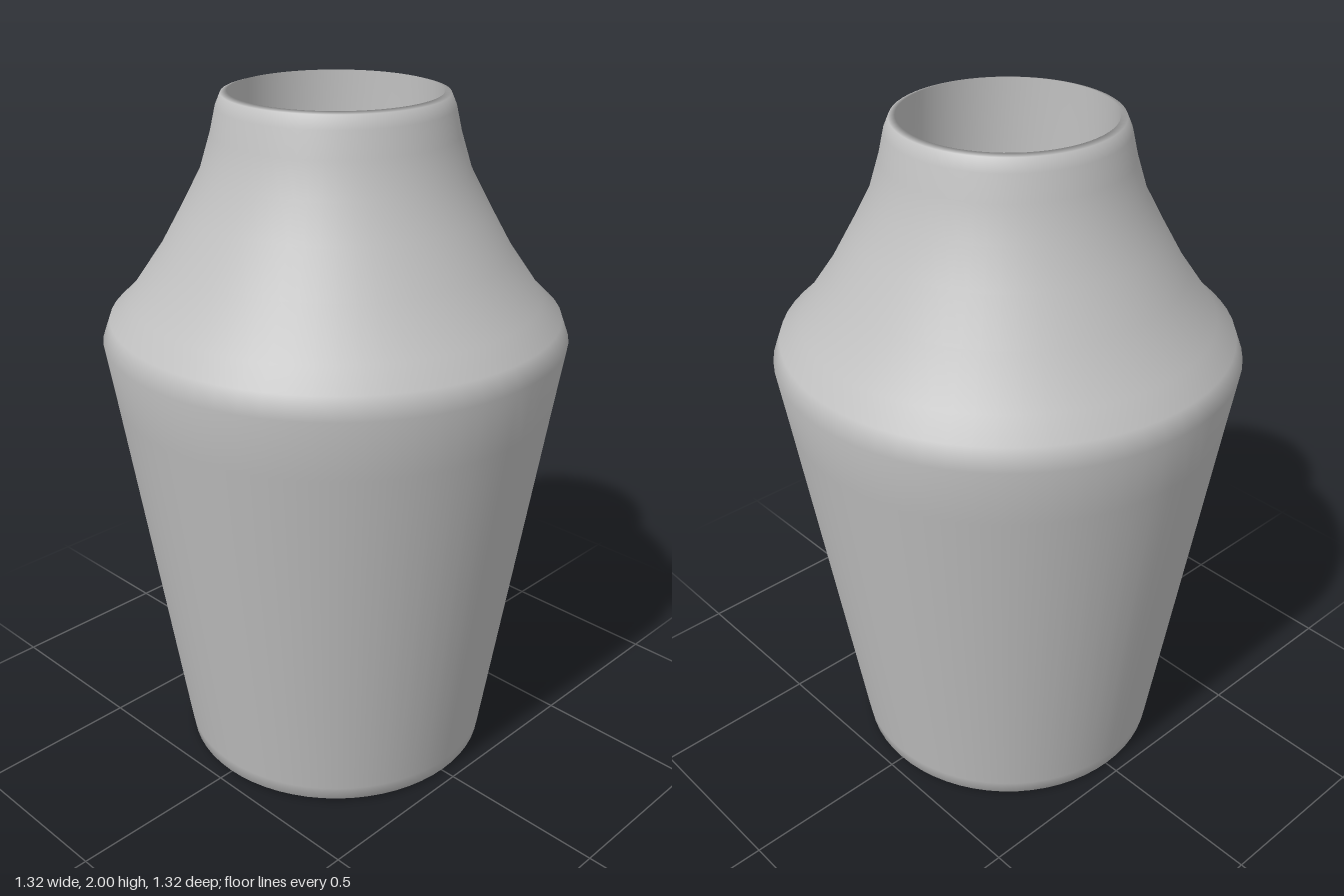
import * as THREE from 'three';

export function createModel() {
  const model = new THREE.Group();
  model.name = 'vase';

  const ceramic = new THREE.MeshStandardMaterial({ color: 0xc0c0c0 });
  ceramic.name = 'pale grey';

  const turn = (name, profile) => {
    const points = profile.map(([r, y]) => new THREE.Vector2(r, y));
    const mesh = new THREE.Mesh(new THREE.LatheGeometry(points, 64), ceramic);
    mesh.name = name;
    model.add(mesh);
  };

  // flat underside
  turn('base', [[0, 0], [0.44, 0]]);

  // tapered wall, concave shoulder, rounded lip, then the straight bore and its floor
  turn('body', [
    [0.44, 0], [0.46, 0.008], [0.467, 0.05],
    [0.632, 1.15], [0.659, 1.325],
    [0.637, 1.385], [0.58, 1.44], [0.49, 1.57], [0.423, 1.69],
    [0.37, 1.79], [0.339, 1.89], [0.323, 1.96], [0.308, 1.995], [0.29, 2],
    [0.29, 0.1], [0, 0.1],
  ]);

  return model;
}
